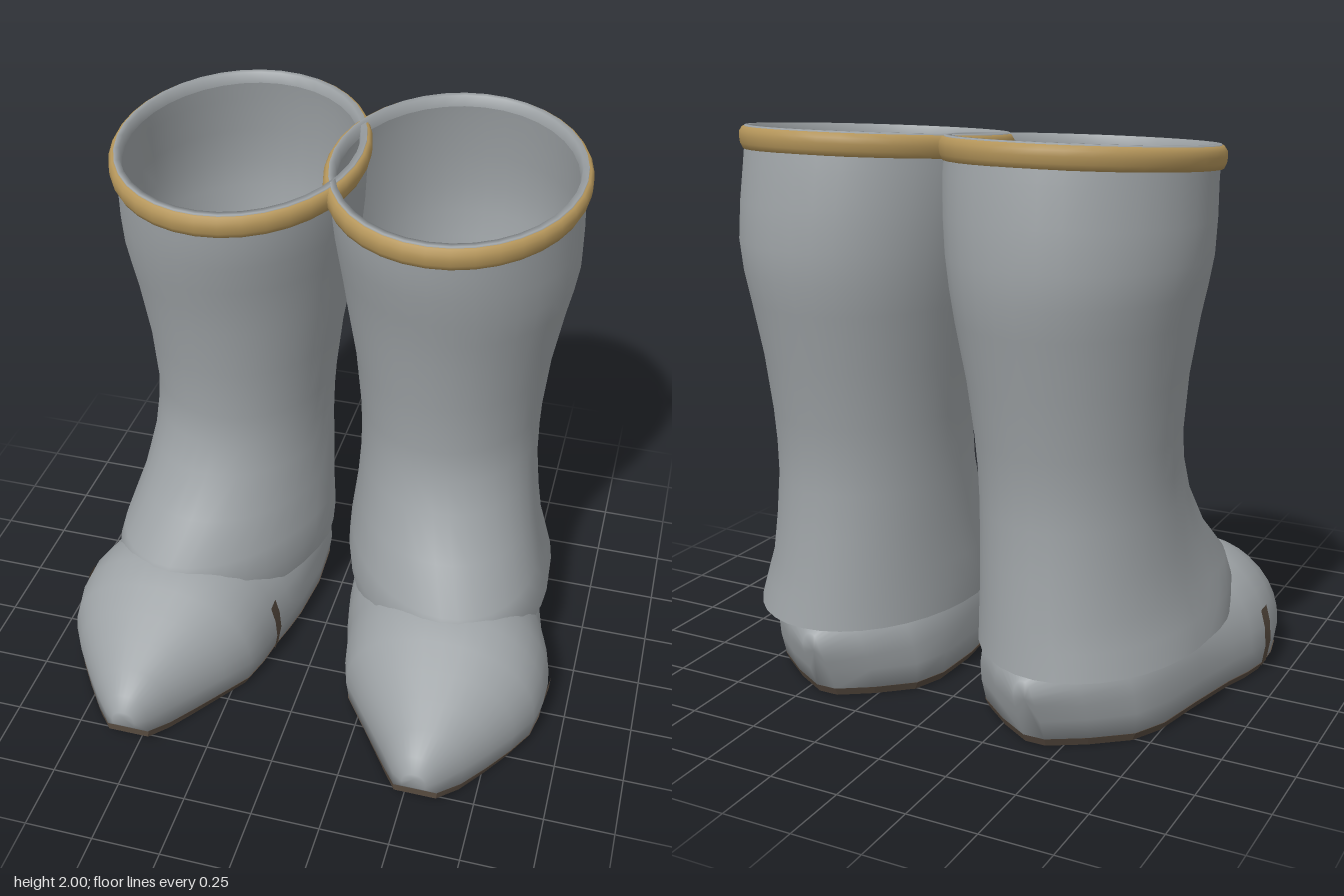
import * as THREE from 'three';

const grey = new THREE.MeshStandardMaterial({ color: 0x9da2a5, side: THREE.DoubleSide });
grey.name = 'grey leather';
const gold = new THREE.MeshStandardMaterial({ color: 0xb4955a });
gold.name = 'gold trim';
const brown = new THREE.MeshStandardMaterial({ color: 0x564a3f, side: THREE.DoubleSide });
brown.name = 'brown sole';

// Skins a list of equal-length rings; closed rings wrap round, caps fill the two ends.
function loft(rings, { closed = true, caps = false } = {}) {
  const n = rings[0].length, pos = rings.flat(2), idx = [];
  for (let i = 0; i < rings.length - 1; i++) {
    for (let j = 0; j < (closed ? n : n - 1); j++) {
      const k = (j + 1) % n;
      const a = i * n + j, b = i * n + k, c = a + n, d = b + n;
      idx.push(a, b, c, b, d, c);
    }
  }
  if (caps) {
    [0, rings.length - 1].forEach((r, end) => {
      const centre = pos.length / 3;
      for (let axis = 0; axis < 3; axis++) {
        pos.push(rings[r].reduce((s, p) => s + p[axis], 0) / n);
      }
      for (let j = 0; j < n; j++) {
        const a = r * n + j, b = r * n + ((j + 1) % n);
        idx.push(centre, end ? a : b, end ? b : a);
      }
    });
  }
  const g = new THREE.BufferGeometry();
  g.setAttribute('position', new THREE.Float32BufferAttribute(pos, 3));
  g.setIndex(idx);
  g.computeVertexNormals();
  return g;
}

// Reflects a geometry across x and restores its winding.
function mirrorX(g) {
  const m = (g.index ? g : g.clone()).toNonIndexed ? g.clone() : g;
  m.scale(-1, 1, 1);
  if (!m.index) m.setIndex([...Array(m.attributes.position.count).keys()]);
  const ix = m.index.array;
  for (let i = 0; i < ix.length; i += 3) [ix[i], ix[i + 1]] = [ix[i + 1], ix[i]];
  // Mirrored positions need mirrored normals.
  if (g.index) m.computeVertexNormals();
  else for (let i = 0; i < m.attributes.normal.count; i++) m.attributes.normal.setX(i, -g.attributes.normal.getX(i));
  return m;
}

// Shaft rings, top down: height, tilt, inner x, outer x, back z, front z, forward lean of the toe side
const SHAFT = [
  [1.93, 0.08, -0.05, 0.82, -0.775, 0.205, 0],
  [1.84, 0.075, -0.05, 0.82, -0.795, 0.2, 0],
  [1.72, 0.04, -0.04, 0.825, -0.815, 0.185, 0],
  [1.6, 0.02, -0.025, 0.825, -0.825, 0.16, 0],
  [1.5, 0, -0.01, 0.81, -0.818, 0.14, 0],
  [1.4, 0, 0.005, 0.79, -0.8, 0.12, 0],
  [1.2, 0, 0.04, 0.757, -0.76, 0.088, 0],
  [1.0, 0, 0.062, 0.74, -0.727, 0.07, 0],
  [0.88, 0, 0.068, 0.738, -0.714, 0.082, 0.01],
  [0.76, 0, 0.068, 0.742, -0.712, 0.12, 0.03],
  [0.6, 0, 0.06, 0.765, -0.725, 0.21, 0.06],
  [0.46, 0, 0.05, 0.795, -0.742, 0.33, 0.1],
  [0.37, 0, 0.045, 0.825, -0.755, 0.36, 0.09],
  [0.28, 0, 0.05, 0.845, -0.77, 0.33, 0.07],
];

function shaftRing([y, tilt, xi, xo, zb, zf, lean]) {
  const ring = [], cz = (zb + zf) / 2;
  for (let j = 0; j < 36; j++) {
    const t = (j / 36) * Math.PI * 2, dz = Math.sin(t) * (zf - zb) / 2;
    const x = (xi + xo) / 2 + Math.cos(t) * (xo - xi) / 2 + lean * Math.max(0, Math.sin(t));
    ring.push([x, y - tilt * dz, cz + dz]);
  }
  return ring;
}

// Ring of the tilted collar, from a radial offset and a height offset
const collarRing = ([dr, dy]) =>
  shaftRing([1.92 + dy, 0.08, -0.07 - dr, 0.84 + dr, -0.797 - dr, 0.23 + dr, 0]);

// Foot sections, heel to toe: z, inner x, outer x, top height, sole height
const FOOT = [
  [-0.775, 0.37, 0.45, 0.27, 0],
  [-0.68, 0.25, 0.58, 0.32, 0],
  [-0.55, 0.13, 0.71, 0.37, 0],
  [-0.4, 0.085, 0.77, 0.41, 0],
  [-0.2, 0.075, 0.815, 0.43, 0],
  [0.0, 0.095, 0.865, 0.45, 0],
  [0.1, 0.115, 0.9, 0.46, 0],
  [0.2, 0.14, 0.922, 0.468, 0],
  [0.3, 0.158, 0.92, 0.46, 0],
  [0.4, 0.188, 0.9, 0.415, 0],
  [0.5, 0.26, 0.842, 0.368, 0],
  [0.6, 0.333, 0.772, 0.318, 0],
  [0.7, 0.405, 0.697, 0.268, 0.004],
  [0.785, 0.46, 0.625, 0.222, 0.03],
  [0.82, 0.5, 0.585, 0.17, 0.075],
];
const ARC = 18;

// The heel is undercut, sloping forward toward the ground.
const heelZ = (z, y) => z + Math.max(0, 1 - y / 0.22) * 0.1 * THREE.MathUtils.clamp((-0.4 - z) / 0.37, 0, 1);

function footRing([z, xi, xo, top, low], grow = 0) {
  const cx = (xi + xo) / 2, hw = (xo - xi) / 2 + grow, ring = [];
  const wide = Math.min(0.11 + low * 0.2, top - 0.03), p = z < 0 ? 0.75 : 0.92;
  for (let j = 0; j <= ARC; j++) {
    const t = (j / ARC) * Math.PI, c = Math.cos(t);
    const x = cx + Math.sign(c) * Math.abs(c) ** p * hw;
    const y = wide + (top + grow - wide) * Math.max(0, Math.sin(t)) ** p;
    ring.push([x, y, heelZ(z, y)]);
  }
  const y = low + 0.028;
  for (const s of [-1, 1]) ring.push([cx + s * hw * 0.965, y, heelZ(z, y)]);
  return ring;
}

function soleRing([z, xi, xo, , low]) {
  const cx = (xi + xo) / 2, hw = (xo - xi) / 2;
  return [[1, 0.03], [-1, 0.03], [-1, 0], [1, 0]].map(([s, dy]) =>
    [cx + s * hw * (dy ? 0.975 : 0.93), low + dy, heelZ(z, low + dy)]);
}

// Thin side strip wrapped over the foot beside the ball, through the given ring points
function sideStrip(points) {
  const rings = [0.17, 0.2, 0.23].map((z) => {
    const ring = footRing([z, 0.14, 0.922, 0.468, 0], 0.006);
    return points.map((i) => ring[i]);
  });
  return loft(rings, { closed: false });
}

export function createModel() {
  const model = new THREE.Group();
  model.name = 'pairOfBoots';

  const sole = loft(FOOT.slice(0, -1).map(soleRing), { caps: true }).toNonIndexed();
  sole.computeVertexNormals();
  const parts = [
    ['shaft', loft(SHAFT.map(shaftRing)), grey],
    ['foot', loft(FOOT.map((s) => footRing(s)), { caps: true }), grey],
    ['sole', sole, brown],
    ['collarBand', loft([[-0.03, 0.034], [-0.012, 0.034], [-0.002, 0.018], [0, 0], [-0.003, -0.022],
      [-0.012, -0.04], [-0.035, -0.04]].map(collarRing)), gold],
    ['collarLip', loft([[-0.018, 0.03], [-0.02, 0.039], [-0.04, 0.039], [-0.046, 0.0]].map(collarRing)), grey],
  ];
  const outer = ARC + 2, inner = ARC + 1;
  const strips = {
    1: [[outer, 0]],
    '-1': [[outer, 0, 1, 2], [ARC - 2, ARC - 1, ARC, inner]],
  };

  for (const side of [1, -1]) {
    const boot = new THREE.Group();
    boot.name = side > 0 ? 'leftBoot' : 'rightBoot';
    const pieces = [...parts, ...strips[side].map((pts) => ['sideStrip', sideStrip(pts), brown])];
    for (const [name, geometry, material] of pieces) {
      const mesh = new THREE.Mesh(side > 0 ? geometry : mirrorX(geometry), material);
      mesh.name = name;
      boot.add(mesh);
    }
    model.add(boot);
  }
  return model;
}
